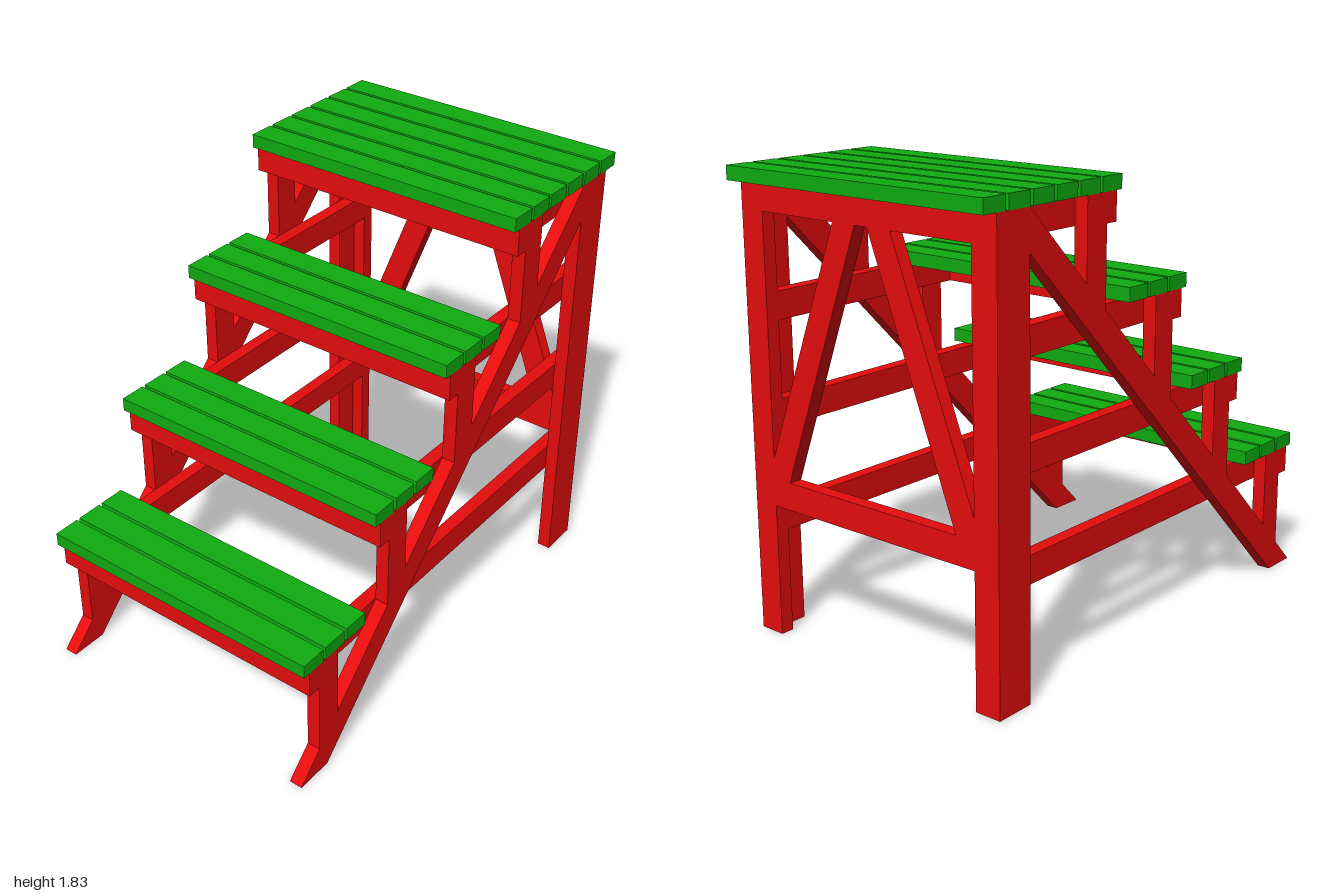
import * as THREE from 'three';

const red = new THREE.MeshStandardMaterial({ color: 0xe60c0c });
const green = new THREE.MeshStandardMaterial({ color: 0x10ab10 });

const T = 0.055;          // board thickness
const W = 0.11;           // board width
const HALF = 0.615;       // half depth of the stand
const BACK = 0.935;       // outer face of the tall end
const LEG = 0.77;         // inner edge of the legs
const TOP = 1.77;         // underside of the top planks

export function createModel() {
  const group = new THREE.Group();

  // Box given by its minimum and maximum corners
  function board(name, mat, x0, x1, y0, y1, z0, z1) {
    const mesh = new THREE.Mesh(new THREE.BoxGeometry(x1 - x0, y1 - y0, z1 - z0), mat);
    mesh.position.set((x0 + x1) / 2, (y0 + y1) / 2, (z0 + z1) / 2);
    mesh.name = name;
    group.add(mesh);
  }

  // Flat board with a polygonal outline, one thickness deep
  function cutBoard(name, points) {
    const shape = new THREE.Shape(points.map(([a, b]) => new THREE.Vector2(a, b)));
    const geometry = new THREE.ExtrudeGeometry(shape, { depth: T, bevelEnabled: false });
    const mesh = new THREE.Mesh(geometry, red);
    mesh.name = name;
    group.add(mesh);
    return mesh;
  }

  // Four steps; the last is the wide top platform
  for (let i = 0; i < 4; i++) {
    const x = -0.945 + i * 0.415;
    const y = 0.53 + i * (TOP - 0.53) / 3;
    const count = i === 3 ? 6 : 3;
    for (let p = 0; p < count; p++) {
      const px = x - 0.03 + p * 0.124;
      board('stepPlank', green, px, px + W, y, y + T, -HALF, HALF);
    }
    board('stepCrossbeam', red, x, x + T, y - W, y, -HALF, HALF);

    for (const s of [-1, 1]) {
      // Rail running inside the stringer to the tall end
      const zs = [s * (HALF - W), s * (HALF - T)].sort((a, b) => a - b);
      board('sideRail', red, x + T, BACK - T, y - W, y, zs[0], zs[1]);
      // Post standing on the sloping stringer
      const a = x + T, b = a + W;
      const post = cutBoard('stepPost', [[a, a + 1], [b, b + 1], [b, y], [a, y]]);
      post.position.z = s > 0 ? HALF - T : -HALF;
    }
  }

  for (const s of [-1, 1]) {
    const outer = s > 0 ? HALF - T : -HALF;

    // Sloping stringer
    const stringer = cutBoard('stringer', [[-1, 0], [-0.845, 0], [LEG, LEG + 0.845], [LEG, TOP]]);
    stringer.position.z = outer;

    // L-shaped leg from two boards
    board('legSide', red, LEG, BACK, 0, TOP, outer, outer + T);
    const inner = s > 0 ? HALF - W : -HALF + T;
    board('legReturn', red, BACK - T, BACK, 0, TOP, inner, inner + T);

    // Slanted brace of the tall end, outline in (-z, y)
    const outline = [[0.03, TOP - W], [0.42, 0.64], [0.505, 0.64], [0.505, 0.72], [0.14, TOP - W]];
    const brace = cutBoard('endBrace', outline.map(([a, b]) => [s * a, b]));
    brace.rotation.y = Math.PI / 2;
    brace.position.x = BACK - T;
  }

  // Crossbeams of the tall end
  for (const y of [0.53, TOP - W]) {
    board('endCrossbeam', red, BACK - T, BACK, y, y + W, -HALF + W, HALF - W);
  }

  return group;
}
